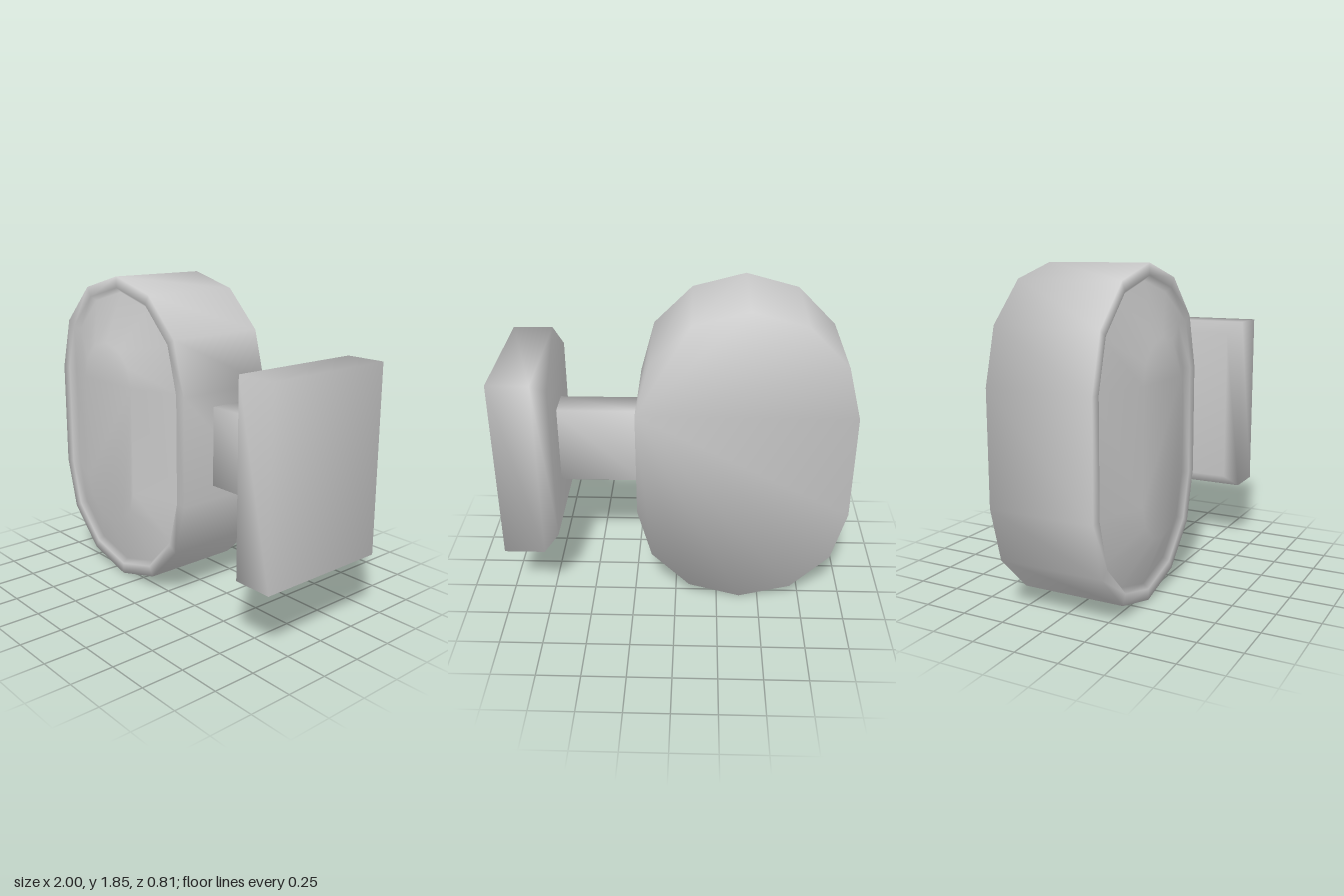
import * as THREE from 'three';

const material = new THREE.MeshStandardMaterial({ color: 0xcccccc });
const MID_Y = 0.925;

// Joins equal-length counter-clockwise rings along +z and caps both ends; shared vertices give smooth normals.
function loft(rings) {
  const n = rings[0].length;
  const positions = rings.flat(2);
  const index = [];
  for (let r = 0; r < rings.length - 1; r++) {
    for (let i = 0; i < n; i++) {
      const j = (i + 1) % n;
      const a = r * n + i, b = r * n + j, c = b + n, d = a + n;
      index.push(a, b, c, a, c, d);
    }
  }
  const last = (rings.length - 1) * n;
  for (let i = 1; i < n - 1; i++) {
    index.push(0, i + 1, i);
    index.push(last, last + i, last + i + 1);
  }
  const geometry = new THREE.BufferGeometry();
  geometry.setAttribute('position', new THREE.Float32BufferAttribute(positions, 3));
  geometry.setIndex(index);
  geometry.computeVertexNormals();
  return geometry;
}

// Upright stadium outline: two faceted half circles around a straight middle.
function stadium(radius, z) {
  const ring = [];
  for (const half of [0, 1]) {
    for (let i = 0; i <= 6; i++) {
      const angle = Math.PI * (half + i / 6);
      const centreY = half ? -0.315 : 0.315;
      ring.push([radius * Math.cos(angle), centreY + radius * Math.sin(angle), z]);
    }
  }
  return ring;
}

function rectangle(halfX, halfY, z) {
  return [[halfX, -halfY, z], [halfX, halfY, z], [-halfX, halfY, z], [-halfX, -halfY, z]];
}

function addPart(group, name, geometry, x) {
  const mesh = new THREE.Mesh(geometry, material);
  mesh.name = name;
  mesh.position.set(x, MID_Y, 0);
  group.add(mesh);
}

export function createModel() {
  const group = new THREE.Group();
  group.name = 'sideLamp';

  // Housing with a flat rim, a shallow groove and a raised lens
  const profile = [[0.612, -0.305], [0.612, 0.305], [0.547, 0.305], [0.52, 0.272], [0.235, 0.385]];
  addPart(group, 'lampHousing', loft(profile.map(([r, z]) => stadium(r, z))), -0.388);

  // Arm, sunk slightly into both neighbours
  const arm = loft([rectangle(0.09, 0.233, 0.2), rectangle(0.09, 0.233, 0.72)]);
  addPart(group, 'arm', arm.rotateY(Math.PI / 2), 0);

  // Mounting plate, chamfered on the side facing the lamp
  const plate = loft([
    rectangle(0.33, 0.47, 0.69),
    rectangle(0.403, 0.541, 0.765),
    rectangle(0.403, 0.541, 1),
  ]);
  addPart(group, 'mountingPlate', plate.rotateY(Math.PI / 2), 0);

  return group;
}
